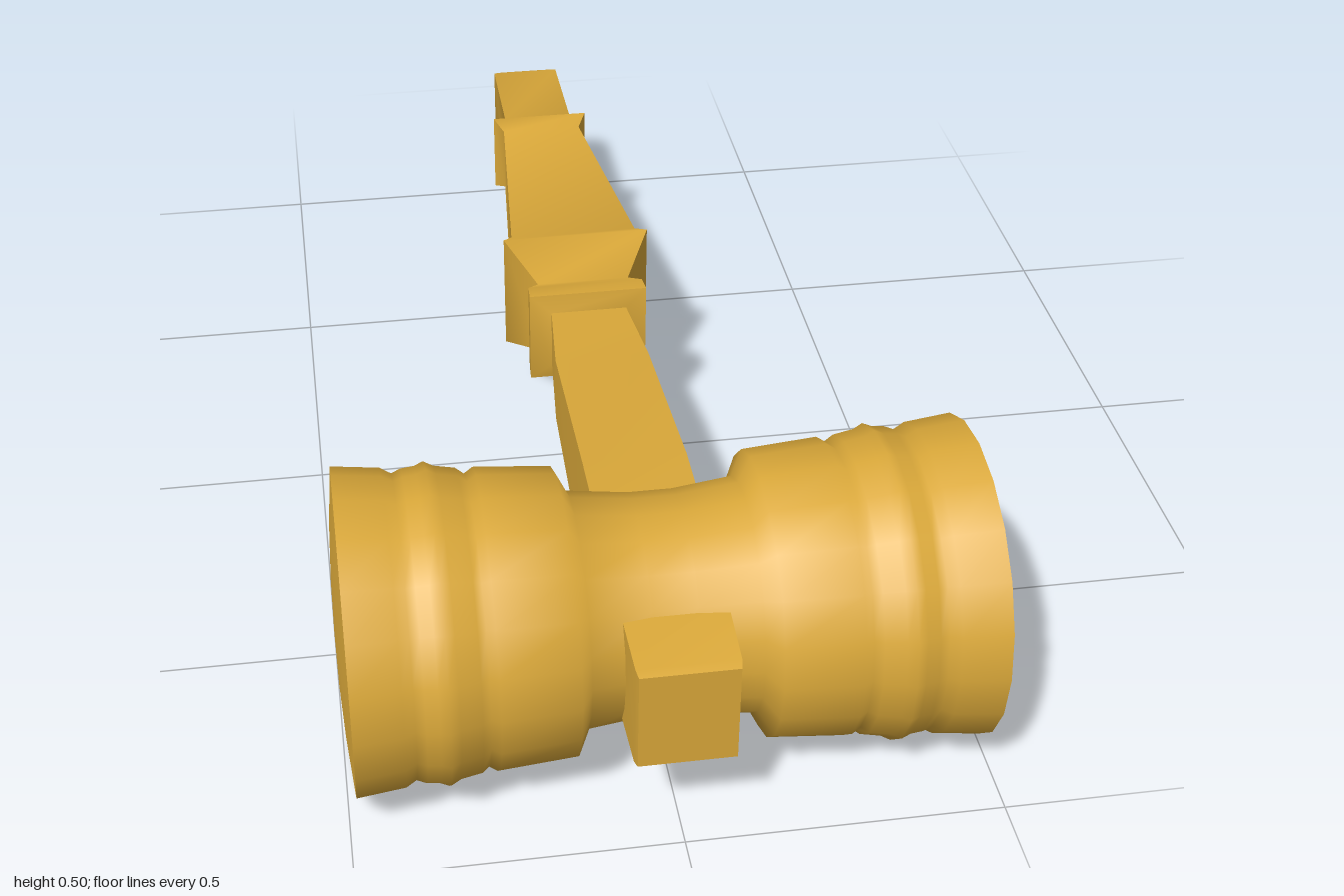
import * as THREE from 'three';
import { toCreasedNormals } from 'three/addons/utils/BufferGeometryUtils.js';

const CY = 0.2535, HEAD_Z = 0.737;
const wood = new THREE.MeshStandardMaterial({ color: 0xdba93a });

// Turned part around the x axis; points are [radius, x] with x ascending
function turned(name, points) {
  const geo = new THREE.LatheGeometry(points.map(p => new THREE.Vector2(p[0], p[1])), 20);
  geo.rotateZ(-Math.PI / 2);
  const mesh = new THREE.Mesh(geo, wood);
  mesh.name = name;
  mesh.position.set(0, CY, HEAD_Z);
  return mesh;
}

// Square-section loft along z; stations are [z, half width, half height], z ascending
function squareLoft(stations) {
  const pos = [], idx = [];
  for (const [z, w, h] of stations) pos.push(w, h, z, -w, h, z, -w, -h, z, w, -h, z);
  for (let i = 0; i < stations.length - 1; i++) {
    for (let j = 0; j < 4; j++) {
      const a = i * 4 + j, b = i * 4 + (j + 1) % 4;
      idx.push(a, b, b + 4, a, b + 4, a + 4);
    }
  }
  const n = (stations.length - 1) * 4;
  idx.push(0, 2, 1, 0, 3, 2, n, n + 1, n + 2, n, n + 2, n + 3);
  const geo = new THREE.BufferGeometry();
  geo.setAttribute('position', new THREE.Float32BufferAttribute(pos, 3));
  geo.setIndex(idx);
  return toCreasedNormals(geo, Math.PI / 3);
}

export function createModel() {
  const gavel = new THREE.Group();
  gavel.name = 'gavel';

  // Head: waist, shoulder, grooves and bead, mirrored about the middle
  const half = [
    [0.173, 0.035], [0.184, 0.13], [0.224, 0.15], [0.233, 0.27], [0.224, 0.284],
    [0.234, 0.297], [0.24, 0.33], [0.248, 0.345], [0.242, 0.36], [0.24, 0.38],
    [0.234, 0.395], [0.244, 0.412], [0.2525, 0.487],
  ];
  const mirrored = pts => pts.map(([r, x]) => [r, -x]).reverse();
  gavel.add(turned('head', [...mirrored(half), ...half]));

  // Slightly domed striking faces
  const dome = [[0.2525, 0.487], [0.16, 0.495], [0.08, 0.499], [0, 0.5]];
  gavel.add(turned('leftStrikingFace', dome));
  gavel.add(turned('rightStrikingFace', mirrored(dome)));

  // Handle: tip, bead, tapered grip, collar, neck and the peg through the head
  const handle = new THREE.Mesh(squareLoft([
    [-1, 0.046, 0.038], [-0.965, 0.066, 0.055], [-0.75, 0.067, 0.057],
    [-0.717, 0.094, 0.078], [-0.685, 0.077, 0.064], [-0.215, 0.116, 0.097],
    [-0.182, 0.134, 0.112], [-0.085, 0.083, 0.072], [-0.055, 0.104, 0.085],
    [-0.02, 0.106, 0.088], [-0.01, 0.068, 0.056], [0.15, 0.082, 0.062],
    [0.5, 0.085, 0.101], [0.737, 0.084, 0.1], [0.985, 0.078, 0.09], [1, 0.075, 0.086],
  ]), wood);
  handle.name = 'handle';
  handle.position.y = CY + 0.001;
  gavel.add(handle);

  return gavel;
}
